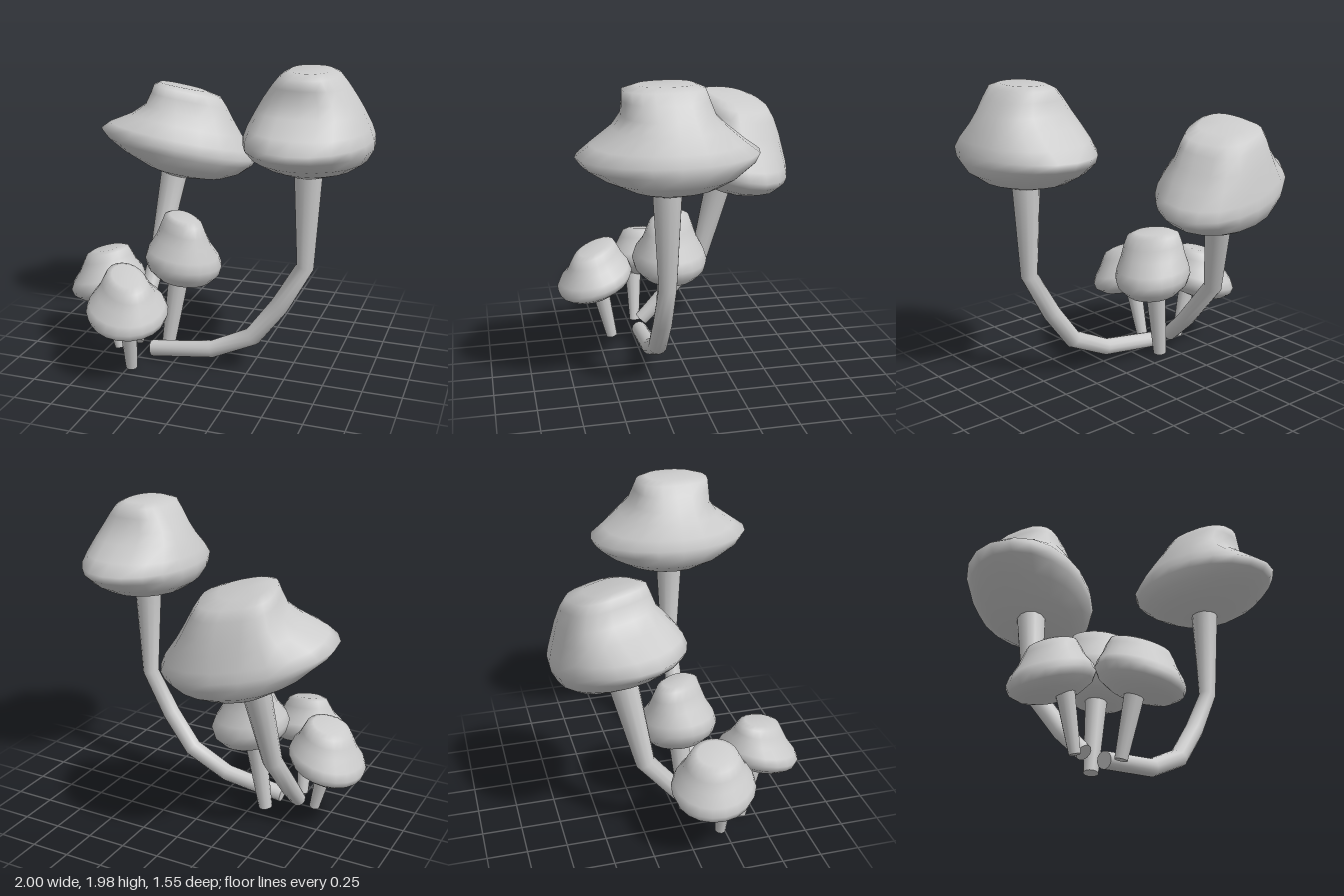
import * as THREE from 'three';

const material = new THREE.MeshStandardMaterial({ color: 0xcccccc });

// Skin a stack of rings (bottom to top) and close both ends; flat ends get their own vertices.
function loft(rings, flatEnds) {
  const n = rings[0].length, pos = [], index = [];
  const add = p => pos.push(p.x, p.y, p.z) / 3 - 1;
  const ids = rings.map(r => r.map(add));
  for (let i = 0; i < rings.length - 1; i++) {
    for (let j = 0; j < n; j++) {
      const k = (j + 1) % n;
      const a = ids[i][j], b = ids[i][k], c = ids[i + 1][j], d = ids[i + 1][k];
      index.push(a, c, b, b, c, d);
    }
  }
  for (const top of [false, true]) {
    const last = top ? rings.length - 1 : 0;
    const ring = rings[last];
    const edge = flatEnds ? ring.map(add) : ids[last];
    const mid = new THREE.Vector3();
    ring.forEach(p => mid.addScaledVector(p, 1 / n));
    const m = add(mid);
    for (let j = 0; j < n; j++) {
      const k = (j + 1) % n;
      index.push(m, edge[top ? k : j], edge[top ? j : k]);
    }
  }
  const g = new THREE.BufferGeometry();
  g.setAttribute('position', new THREE.Float32BufferAttribute(pos, 3));
  g.setIndex(index);
  g.computeVertexNormals();
  return g;
}

// Cap: each row is [height, reach +x, reach -x, reach +z, reach -z, roundness];
// roundness below 1 squares the ring off, and the slopes tip the rim.
function capGeometry({ rows, at, scale = [1, 1, 1], yaw = 0, slope = [0, 0] }) {
  const sides = 20;
  const up = new THREE.Vector3(0, 1, 0);
  const bend = (v, q) => (Math.abs(v) < 1e-6 ? 0 : Math.sign(v) * Math.abs(v) ** q);
  const rings = rows.map(([y, xp, xn, zp, zn, q = 1]) =>
    Array.from({ length: sides }, (_, j) => {
      const t = (j / sides) * Math.PI * 2;
      const c = bend(Math.cos(t), q), s = bend(Math.sin(t), q);
      const p = new THREE.Vector3(
        c * (c > 0 ? xp : xn) * scale[0], y * scale[1], s * (s > 0 ? zp : zn) * scale[2]);
      p.applyAxisAngle(up, yaw);
      p.y += slope[0] * p.x + slope[1] * p.z;
      return p.add(new THREE.Vector3(...at));
    }));
  return loft(rings, false);
}

// Stem: each point is [x, y, z, radius], base to top.
function stemGeometry(points) {
  const sides = 12;
  const ctr = points.map(p => new THREE.Vector3(p[0], p[1], p[2]));
  const rings = ctr.map((p, i) => {
    const dir = new THREE.Vector3();
    if (i > 0) dir.add(p.clone().sub(ctr[i - 1]).normalize());
    if (i < ctr.length - 1) dir.add(ctr[i + 1].clone().sub(p).normalize());
    dir.normalize();
    const u = dir.clone().cross(new THREE.Vector3(0, 0, 1)).normalize();
    const v = u.clone().cross(dir);
    return Array.from({ length: sides }, (_, j) => {
      const t = (j / sides) * Math.PI * 2, r = points[i][3];
      return p.clone().addScaledVector(u, r * Math.cos(t)).addScaledVector(v, r * Math.sin(t));
    });
  });
  return loft(rings, true);
}

// Tall cap: steep at the sides, flared brim at front and back
const tallRows = [
  [0, 0.11, 0.11, 0.12, 0.12], [0.05, 0.26, 0.26, 0.25, 0.3],
  [0.11, 0.345, 0.345, 0.38, 0.41], [0.18, 0.382, 0.382, 0.49, 0.5],
  [0.235, 0.378, 0.378, 0.53, 0.53], [0.3, 0.355, 0.355, 0.44, 0.44, 0.92],
  [0.39, 0.31, 0.31, 0.315, 0.33, 0.84], [0.46, 0.27, 0.27, 0.265, 0.26, 0.8],
  [0.54, 0.215, 0.215, 0.262, 0.23, 0.8], [0.6, 0.165, 0.165, 0.26, 0.21, 0.8],
  [0.625, 0.12, 0.12, 0.18, 0.15, 0.85],
];

// Wide cap: brim pulled out on one side
const wideRows = [
  [0, 0.1, 0.1, 0.1, 0.1], [0.04, 0.3, 0.22, 0.25, 0.25],
  [0.1, 0.42, 0.37, 0.32, 0.33], [0.17, 0.5, 0.48, 0.36, 0.36],
  [0.22, 0.525, 0.525, 0.367, 0.367], [0.28, 0.5, 0.46, 0.35, 0.355, 0.96],
  [0.37, 0.43, 0.31, 0.29, 0.33, 0.85], [0.45, 0.38, 0.22, 0.23, 0.31, 0.78],
  [0.54, 0.33, 0.18, 0.2, 0.28, 0.75], [0.595, 0.29, 0.16, 0.18, 0.25, 0.75],
  [0.62, 0.18, 0.12, 0.13, 0.17, 0.8],
];

// Small caps, unit rim radius; the ridge stretches the crown along its own x
const smallRows = ridge => [
  [0, 0.4, 0], [0.1, 0.7, 0], [0.28, 0.93, 0], [0.47, 1, 0], [0.66, 0.93, 0.1],
  [0.9, 0.76, 0.5], [1.12, 0.66, 0.8], [1.32, 0.56, 1], [1.39, 0.4, 1],
].map(([y, r, k]) => {
  const long = r * (1 + ridge * k), short = r * (1 - ridge * k);
  return [y, long, long, short, short];
});

const mushrooms = [
  {
    name: 'tallMushroom',
    cap: { rows: tallRows, at: [0.615, 1.36, 0.21] },
    stem: [[-0.41, 0.072, 0.215, 0.053], [0.01, 0.13, 0.215, 0.056], [0.28, 0.26, 0.215, 0.06],
      [0.45, 0.49, 0.215, 0.06], [0.61, 0.775, 0.215, 0.055], [0.615, 1.42, 0.215, 0.09]],
  },
  {
    name: 'wideMushroom',
    cap: { rows: wideRows, at: [-0.442, 1.095, -0.4], yaw: 0.29, slope: [-0.165, 0.17] },
    stem: [[-0.54, 0.09, 0.18, 0.05], [-0.55, 0.25, 0.02, 0.058],
      [-0.54, 0.57, -0.25, 0.062], [-0.455, 1.18, -0.38, 0.095]],
  },
  {
    name: 'leftSmallMushroom',
    cap: { rows: smallRows(0), at: [-0.755, 0.358, 0.12], scale: [0.247, 0.25, 0.26], slope: [0.24, 0.06] },
    stem: [[-0.645, 0.045, 0.21, 0.034], [-0.735, 0.44, 0.2, 0.06]],
  },
  {
    name: 'frontSmallMushroom',
    cap: { rows: smallRows(0.18), at: [-0.447, 0.357, 0.515], yaw: -Math.PI / 4,
      scale: [0.257, 0.24, 0.257], slope: [-0.12, -0.24] },
    stem: [[-0.48, 0.015, 0.4, 0.038], [-0.457, 0.43, 0.49, 0.062]],
  },
  {
    name: 'backSmallMushroom',
    cap: { rows: smallRows(0.22), at: [-0.252, 0.495, 0.03], yaw: -Math.PI / 4,
      scale: [0.252, 0.325, 0.252], slope: [-0.12, 0.02] },
    stem: [[-0.355, 0.04, 0.065, 0.045], [-0.28, 0.56, 0.035, 0.07]],
  },
];

export function createModel() {
  const model = new THREE.Group();
  model.name = 'mushroomCluster';
  for (const { name, cap, stem } of mushrooms) {
    const group = new THREE.Group();
    group.name = name;
    const capMesh = new THREE.Mesh(capGeometry(cap), material);
    capMesh.name = 'cap';
    const stemMesh = new THREE.Mesh(stemGeometry(stem), material);
    stemMesh.name = 'stem';
    group.add(capMesh, stemMesh);
    model.add(group);
  }
  return model;
}
